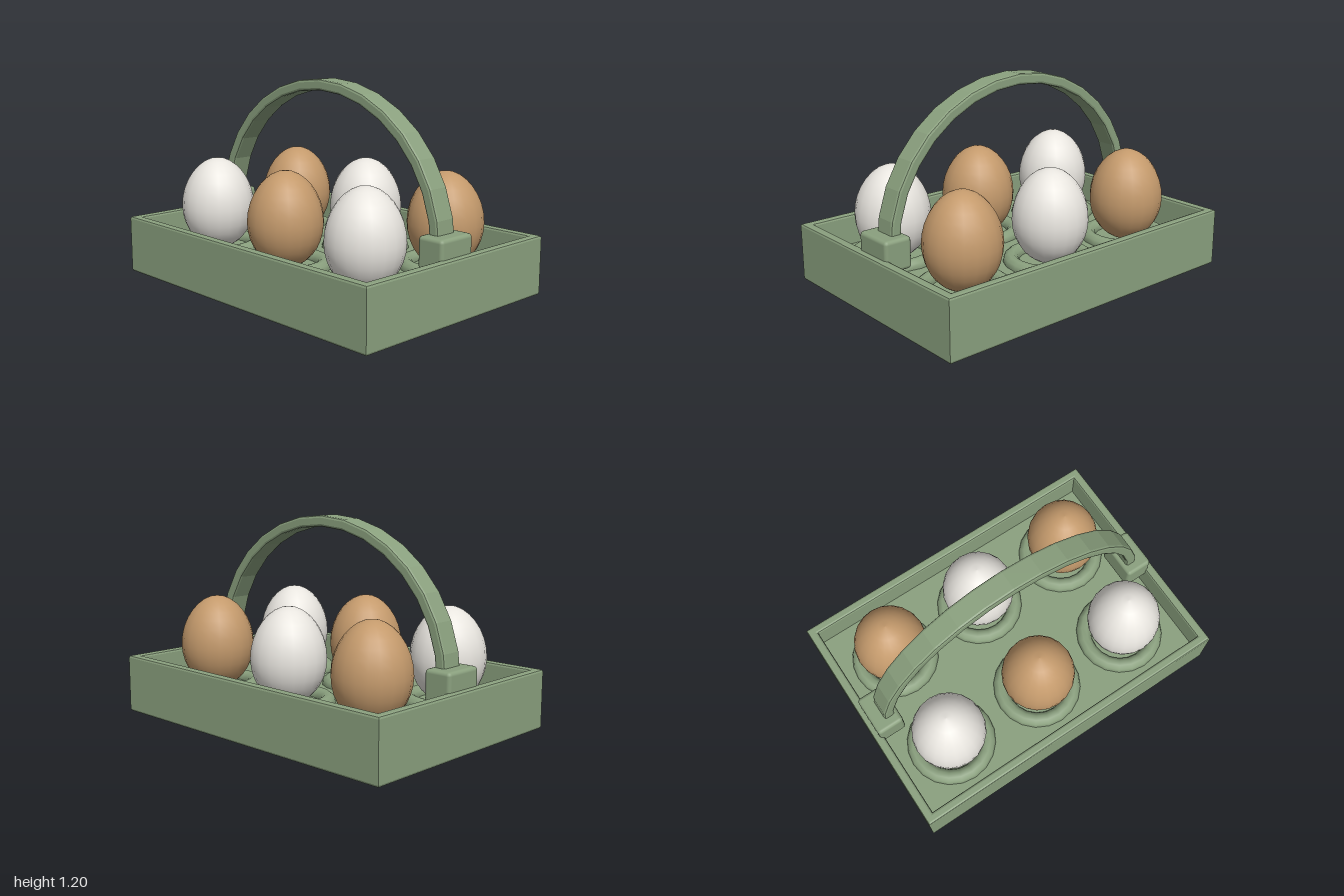
import * as THREE from 'three';
import { RoundedBoxGeometry } from 'three/addons/geometries/RoundedBoxGeometry.js';

const material = (color) => new THREE.MeshStandardMaterial({ color });
const green = material(0x8aa07e);
const white = material(0xe8e5df);
const brown = material(0xc49a6c);

function addMesh(parent, name, geometry, mat, x = 0, y = 0, z = 0) {
  const mesh = new THREE.Mesh(geometry, mat);
  mesh.name = name;
  mesh.position.set(x, y, z);
  parent.add(mesh);
  return mesh;
}

// Rectangle outline used for the tray wall and its opening
function rectangle(Type, hw, hd) {
  const path = new Type();
  path.moveTo(-hw, -hd).lineTo(hw, -hd).lineTo(hw, hd).lineTo(-hw, hd).lineTo(-hw, -hd);
  return path;
}

// Extrusion with softened edges, centred on its depth
function bevelled(shape, depth, bevel) {
  const geometry = new THREE.ExtrudeGeometry(shape, {
    depth: depth - 2 * bevel,
    bevelThickness: bevel,
    bevelSize: bevel,
    bevelOffset: -bevel,
    bevelSegments: 2,
  });
  return geometry.translate(0, 0, bevel - depth / 2);
}

// Egg profile: rounder below, slightly tapered above the widest point
function eggGeometry() {
  const radius = 0.216, up = 0.29, down = 0.26, steps = 16;
  const points = [];
  for (let i = 0; i <= steps; i++) {
    const a = -Math.PI / 2 + (i / steps) * Math.PI;
    const s = Math.sin(a);
    const taper = s > 0 ? 1 - 0.07 * s * s : 1;
    const r = i === 0 || i === steps ? 0 : radius * Math.cos(a) * taper;
    points.push(new THREE.Vector2(r, s * (s > 0 ? up : down)));
  }
  return new THREE.LatheGeometry(points, 20);
}

// Faceted half-ellipse strap
function handleGeometry() {
  const segments = 16, thickness = 0.064;
  const outer = [], inner = [];
  for (let i = 0; i <= segments; i++) {
    const a = (i / segments) * Math.PI;
    const c = Math.cos(a), s = Math.sin(a);
    outer.push(new THREE.Vector2(0.9 * c, 0.84 * s));
    inner.unshift(new THREE.Vector2((0.9 - thickness) * c, (0.84 - thickness) * s));
  }
  return bevelled(new THREE.Shape([...outer, ...inner]), 0.136, 0.014);
}

export function createModel() {
  const model = new THREE.Group();
  model.name = 'eggTray';

  // Tray wall and raised floor
  const wallShape = rectangle(THREE.Shape, 1, 0.7);
  wallShape.holes.push(rectangle(THREE.Path, 0.945, 0.645));
  const wall = addMesh(model, 'trayWall', bevelled(wallShape, 0.345, 0.014), green, 0, 0.1725, 0);
  wall.rotation.x = -Math.PI / 2;
  addMesh(model, 'trayFloor', new THREE.BoxGeometry(1.92, 0.165, 1.32), green, 0, 0.0825, 0);

  // Cups and eggs in alternating colours
  const cup = new THREE.TorusGeometry(0.22, 0.046, 10, 20).rotateX(Math.PI / 2);
  const egg = eggGeometry();
  [0.32, -0.32].forEach((z, row) => {
    [-0.62, 0, 0.62].forEach((x, column) => {
      addMesh(model, 'cupRing', cup, green, x, 0.17, z);
      addMesh(model, 'egg', egg, (row + column) % 2 ? brown : white, x, 0.42, z);
    });
  });

  // Handle and its end mounts
  addMesh(model, 'handle', handleGeometry(), green, 0, 0.36, 0);
  for (const side of [-1, 1]) {
    const mount = new RoundedBoxGeometry(0.165, 0.18, 0.25, 2, 0.022);
    addMesh(model, 'handleMount', mount, green, side * 0.885, 0.36, 0);
  }
  return model;
}
